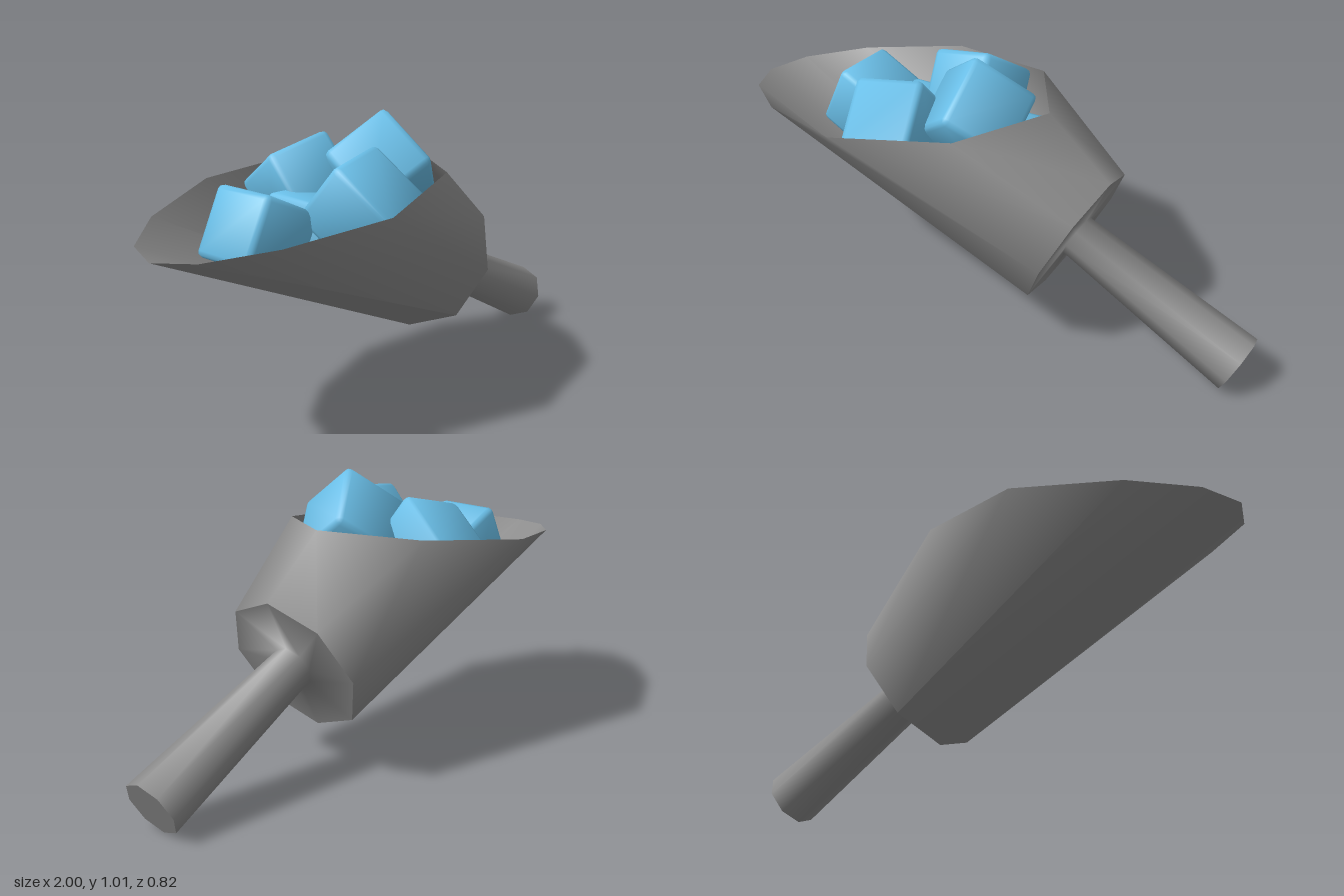
import * as THREE from 'three';
import { RoundedBoxGeometry } from 'three/addons/geometries/RoundedBoxGeometry.js';

const metal = new THREE.MeshStandardMaterial({ color: 0x8e8e8e, side: THREE.DoubleSide });
const iceBlue = new THREE.MeshStandardMaterial({ color: 0x6abfe8 });

// Join closed rings of equal length with smooth quads.
function loft(rings) {
  const n = rings[0].length, index = [];
  for (let r = 0; r < rings.length - 1; r++) {
    for (let i = 0; i < n; i++) {
      const a = r * n + i, b = r * n + (i + 1) % n;
      index.push(a, b, a + n, b, b + n, a + n);
    }
  }
  const geo = new THREE.BufferGeometry();
  geo.setAttribute('position', new THREE.Float32BufferAttribute(rings.flat(2), 3));
  geo.setIndex(index);
  geo.computeVertexNormals();
  return geo;
}

// Octagon across the tilted axis, first corner on top, turning toward +z.
const tilt = Math.atan2(0.298, 0.62);
function octagon(x, y, radius) {
  return Array.from({ length: 8 }, (_, i) => {
    const a = i * Math.PI / 4, up = radius * Math.cos(a);
    return [x + up * Math.sin(tilt), y + up * Math.cos(tilt), radius * Math.sin(a)];
  });
}

// Mirror a half ring (top to bottom, +z side) to close it.
const mirrorRing = half =>
  [...half, ...half.slice(1, -1).reverse().map(([x, y, z]) => [x, y, -z])];

// Chamfered cube whose normals lean outward for softly shaded faces.
function softCube(size, chamfer) {
  const geo = new RoundedBoxGeometry(size, size, size, 1, chamfer);
  const { position, normal } = geo.attributes;
  const n = new THREE.Vector3(), out = new THREE.Vector3();
  for (let i = 0; i < position.count; i++) {
    out.fromBufferAttribute(position, i).normalize();
    n.fromBufferAttribute(normal, i).lerp(out, 0.5).normalize();
    normal.setXYZ(i, n.x, n.y, n.z);
  }
  return geo;
}

export function createModel() {
  const model = new THREE.Group();
  const add = (name, geo, mat) => {
    const mesh = new THREE.Mesh(geo, mat);
    mesh.name = name;
    model.add(mesh);
    return mesh;
  };

  // Flared bowl: octagonal back opening out to the slanted rim
  const back = octagon(0.328, 0.395, 0.267);
  const rim = mirrorRing([
    [0.21, 0.838, 0], [0.02, 0.815, 0.3], [-0.4, 0.765, 0.41],
    [-0.75, 0.722, 0.285], [-0.94, 0.695, 0.14], [-1, 0.685, 0],
  ]);
  // The lower side corner is doubled to feed two rim points
  const base = mirrorRing([0, 1, 2, 3, 3, 4].map(i => back[i]));
  add('scoopBowl', loft([rim, base]), metal);

  // Back plate running smoothly into the handle
  const grip = octagon(0.952, 0.095, 0.105);
  add('backPlateAndHandle', loft([back, octagon(0.33, 0.395, 0.076), grip]), metal);

  // Flat end of the handle
  add('handleEnd', loft([grip, octagon(0.952, 0.095, 0)]), metal);

  // Heap of ice cubes: position, rotation, scale
  const cubes = [
    [[-0.53, 0.66, -0.035], [0, -0.05, -0.45], 0.93],
    [[-0.28, 0.735, 0.19], [0.72, 0.2, 0], 0.97],
    [[-0.18, 0.73, -0.17], [-0.6, -0.25, 0.1], 0.98],
    [[-0.035, 0.795, 0.065], [-0.93, -0.76, 0], 1],
    [[-0.28, 0.62, -0.02], [0.1, 0.15, -0.1], 0.95],
    [[0.055, 0.59, -0.05], [0.2, 0.4, -0.3], 0.95],
  ];
  const cube = softCube(0.26, 0.02);
  cubes.forEach(([position, rotation, scale], i) => {
    const mesh = add('iceCube' + (i + 1), cube, iceBlue);
    mesh.position.set(...position);
    mesh.rotation.set(...rotation);
    mesh.scale.setScalar(scale);
  });

  return model;
}
